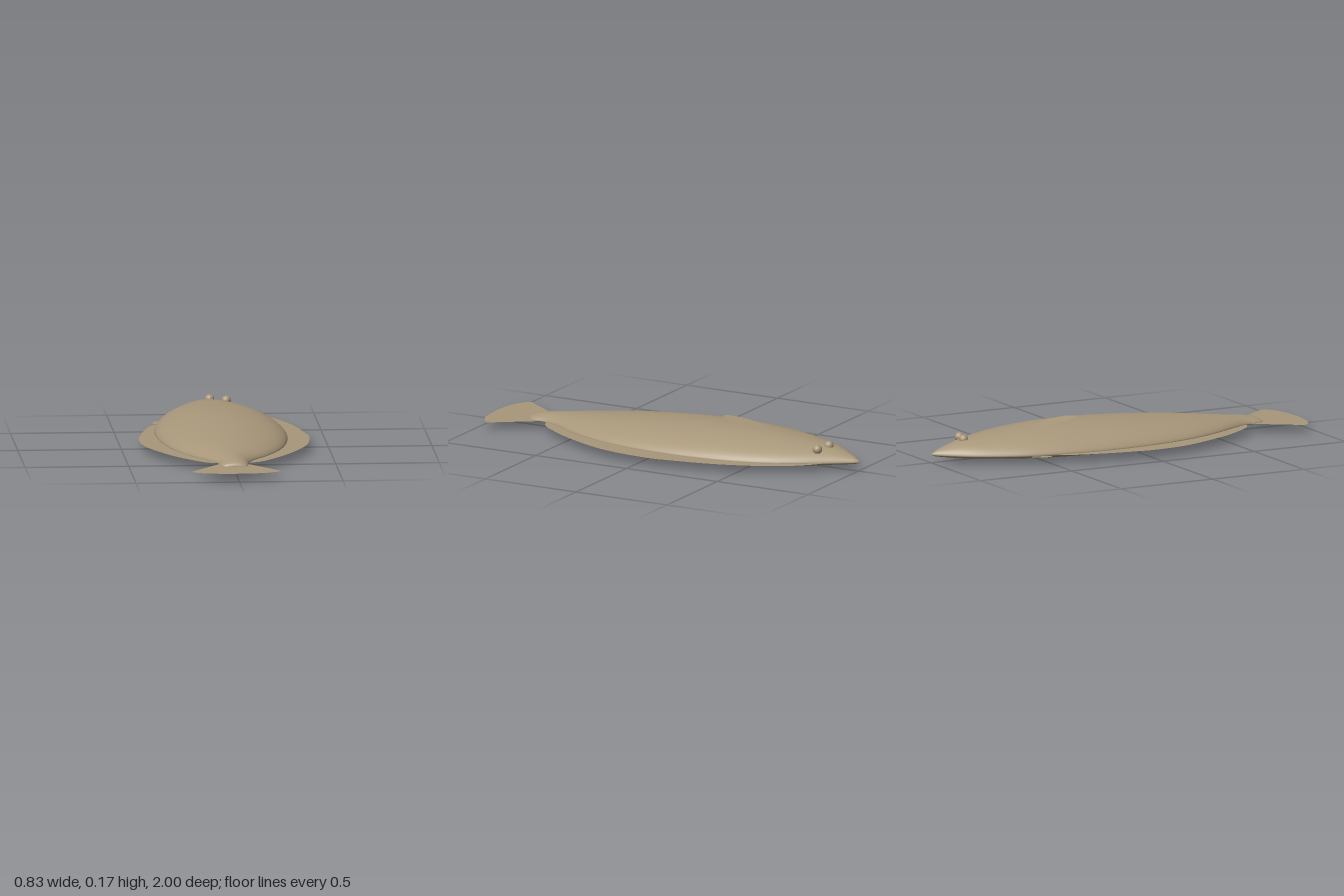
import * as THREE from 'three';

const SEAM = 0.043; // height of the body's edge, where the fins lie

// body stations: z, right edge x, left edge x, underside y, back y
const STATIONS = [
  [-1.0, -0.012, -0.008, 0.040, 0.048],
  [-0.985, -0.028, 0.006, 0.035, 0.058],
  [-0.95, -0.06, 0.03, 0.030, 0.072],
  [-0.86, -0.135, 0.09, 0.022, 0.098],
  [-0.74, -0.203, 0.165, 0.015, 0.116],
  [-0.59, -0.265, 0.235, 0.009, 0.131],
  [-0.4, -0.306, 0.285, 0.004, 0.142],
  [-0.18, -0.325, 0.307, 0.002, 0.142],
  [0.0, -0.318, 0.303, 0.004, 0.135],
  [0.2, -0.288, 0.275, 0.010, 0.122],
  [0.35, -0.245, 0.232, 0.016, 0.110],
  [0.5, -0.178, 0.163, 0.023, 0.096],
  [0.61, -0.118, 0.095, 0.028, 0.085],
  [0.69, -0.083, 0.066, 0.031, 0.077],
  [0.75, -0.076, 0.060, 0.033, 0.068],
  [0.78, -0.066, 0.052, 0.036, 0.060],
  [0.79, -0.045, 0.032, 0.040, 0.050],
];

// smooth loft of asymmetric lens-shaped rings, closed at both ends
function bodyGeometry(rings = 72, sides = 48) {
  const edge = new THREE.CatmullRomCurve3(STATIONS.map(s => new THREE.Vector3(s[1], s[2], s[0])));
  const height = new THREE.CatmullRomCurve3(STATIONS.map(s => new THREE.Vector3(s[3], s[4], s[0])));
  const pos = [], index = [];
  for (let i = 0; i <= rings; i++) {
    const e = edge.getPoint(i / rings), h = height.getPoint(i / rings);
    const mid = (e.x + e.y) / 2, half = (e.y - e.x) / 2;
    for (let j = 0; j < sides; j++) {
      const a = (j / sides) * Math.PI * 2, s = Math.sin(a);
      const y = s >= 0 ? (h.y - SEAM) * Math.pow(s, 1.25) : (h.x - SEAM) * -s;
      pos.push(mid + half * Math.cos(a), SEAM + y, e.z);
    }
  }
  for (let i = 0; i < rings; i++) {
    for (let j = 0; j < sides; j++) {
      const a = i * sides + j, b = i * sides + (j + 1) % sides;
      index.push(a, b, a + sides, b, b + sides, a + sides);
    }
  }
  // end caps
  const last = rings * sides, nose = pos.length / 3;
  pos.push(-0.01, 0.044, -1, -0.007, 0.045, 0.792);
  for (let j = 0; j < sides; j++) {
    const k = (j + 1) % sides;
    index.push(nose, k, j, nose + 1, last + j, last + k);
  }
  const g = new THREE.BufferGeometry();
  g.setAttribute('position', new THREE.Float32BufferAttribute(pos, 3));
  g.setIndex(index);
  g.computeVertexNormals();
  return g;
}

// flat fin lying in the xz plane: smooth outer edge, straight inner edge
function finGeometry(outer, inner = []) {
  const curve = new THREE.SplineCurve(outer.map(([x, z]) => new THREE.Vector2(x, -z)));
  const pts = curve.getPoints(outer.length * 5);
  inner.forEach(([x, z]) => pts.push(new THREE.Vector2(x, -z)));
  return new THREE.ShapeGeometry(new THREE.Shape(pts)).rotateX(-Math.PI / 2);
}

export function createModel() {
  const group = new THREE.Group();
  const skin = new THREE.MeshStandardMaterial({ color: 0xa8977a, side: THREE.DoubleSide });
  skin.name = 'sandyBrown';
  const add = (name, geometry, x = 0, y = 0, z = 0) => {
    const mesh = new THREE.Mesh(geometry, skin);
    mesh.name = name;
    mesh.position.set(x, y, z);
    group.add(mesh);
    return mesh;
  };

  add('body', bodyGeometry());

  // long edge fins
  add('dorsalFin', finGeometry(
    [[0.09, -0.86], [0.15, -0.81], [0.23, -0.71], [0.3, -0.57], [0.36, -0.39], [0.4, -0.18], [0.412, -0.04],
      [0.378, 0.2], [0.28, 0.43], [0.2, 0.56], [0.13, 0.65], [0.065, 0.685]],
    [[0.02, 0.66], [0.12, 0.4], [0.2, 0], [0.18, -0.45]]), 0, SEAM, 0);
  add('analFin', finGeometry(
    [[-0.295, -0.47], [-0.335, -0.41], [-0.37, -0.29], [-0.403, -0.12], [-0.415, 0.01], [-0.39, 0.2],
      [-0.29, 0.44], [-0.21, 0.57], [-0.14, 0.655], [-0.08, 0.685]],
    [[-0.03, 0.66], [-0.12, 0.4], [-0.2, 0], [-0.2, -0.4]]), 0, SEAM, 0);

  // tail fan
  add('tailFin', finGeometry(
    [[-0.23, 0.93], [-0.19, 0.965], [-0.125, 0.99], [-0.01, 1], [0.105, 0.99], [0.17, 0.965], [0.21, 0.93]],
    [[0.05, 0.7], [-0.07, 0.7]]), 0, SEAM, 0);

  // small fin beside the gills
  add('pelvicFin', finGeometry(
    [[-0.27, -0.6], [-0.302, -0.57], [-0.313, -0.51], [-0.292, -0.503]],
    [[-0.25, -0.53]]), 0, SEAM - 0.004, 0);

  // raised fin on the back, tilted up towards the tail
  const backFin = finGeometry(
    [[-0.08, -0.45], [-0.095, -0.33], [-0.07, -0.245], [-0.04, -0.235], [0, -0.28], [0.014, -0.36]],
    [[0, -0.43], [-0.04, -0.455]]);
  const p = backFin.attributes.position;
  for (let i = 0; i < p.count; i++) p.setY(i, 0.139 + (p.getZ(i) + 0.45) * 0.138);
  backFin.computeVertexNormals();
  add('pectoralFin', backFin);

  // both eyes sit on the upper side
  [[-0.015, 0.104, -0.83], [0.064, 0.1, -0.81]].forEach(([x, y, z], i) =>
    add(i ? 'outerEye' : 'innerEye', new THREE.SphereGeometry(0.023, 20, 14), x, y, z));

  return group;
}
